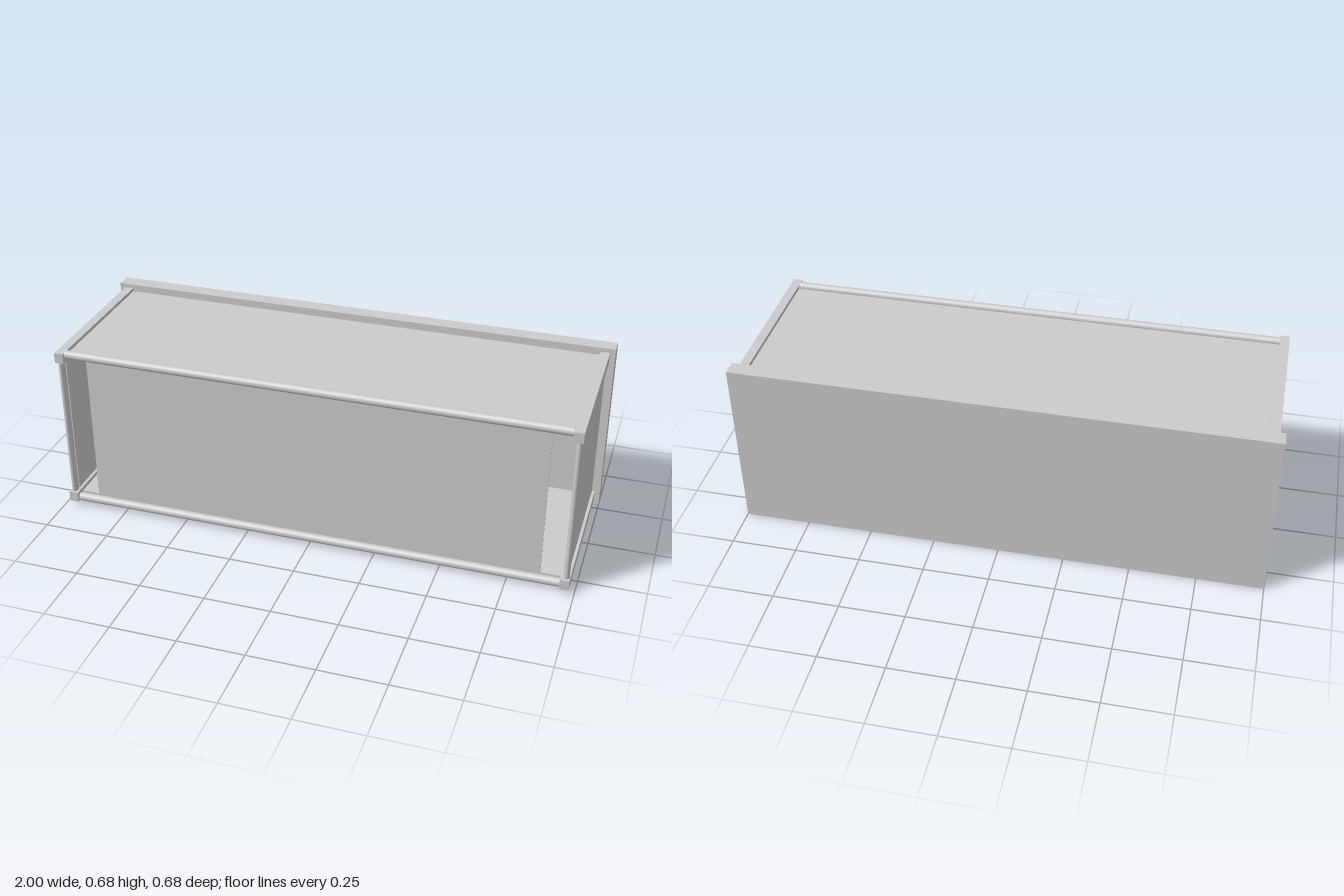
import * as THREE from 'three';

const material = new THREE.MeshStandardMaterial({ color: 0xcccccc });

// Box given by its extents on each axis
function slab(name, [x0, x1], [y0, y1], [z0, z1]) {
  const mesh = new THREE.Mesh(new THREE.BoxGeometry(x1 - x0, y1 - y0, z1 - z0), material);
  mesh.position.set((x0 + x1) / 2, (y0 + y1) / 2, (z0 + z1) / 2);
  mesh.name = name;
  return mesh;
}

export function createModel() {
  const model = new THREE.Group();
  model.name = 'cabinet';
  const midY = 0.3405;

  // Back plate, larger than the case
  model.add(slab('backPlate', [-1, 1], [0, 0.68], [-0.34, -0.28]));

  // Four corner rails running front to back
  for (const s of [-1, 1]) {
    const x = s < 0 ? [-0.98, -0.945] : [0.945, 0.98];
    model.add(slab('lowerRail', x, [0.017, 0.057], [-0.28, 0.34]));
    model.add(slab('upperRail', x, [0.624, 0.664], [-0.28, 0.34]));

    // Side panel, set in from the rails
    const px = s < 0 ? [-0.969, -0.957] : [0.957, 0.969];
    model.add(slab('sidePanel', px, [0.03, 0.651], [-0.28, 0.298]));

    // Slim oval post between the rails
    const post = new THREE.Mesh(new THREE.CylinderGeometry(0.0165, 0.0165, 0.567, 32), material);
    post.name = 'frontPost';
    post.scale.x = 0.68;
    post.position.set(s * 0.966, midY, 0.3145);
    model.add(post);
  }

  // Floor and top panels, recessed between the rails
  model.add(slab('floorPanel', [-0.957, 0.957], [0.03, 0.043], [-0.28, 0.296]));
  model.add(slab('topPanel', [-0.957, 0.957], [0.638, 0.651], [-0.28, 0.296]));

  // Round bars across the front
  for (const y of [0.0285, 0.6525]) {
    const bar = new THREE.Mesh(new THREE.CylinderGeometry(0.0165, 0.0165, 1.89, 32), material);
    bar.name = 'frontBar';
    bar.rotation.z = Math.PI / 2;
    bar.position.set(0, y, 0.3145);
    model.add(bar);
  }

  // Thin front panel, leaving a gap at each end
  model.add(slab('frontPanel', [-0.87, 0.87], [0.045, 0.637], [0.299, 0.305]));

  return model;
}
